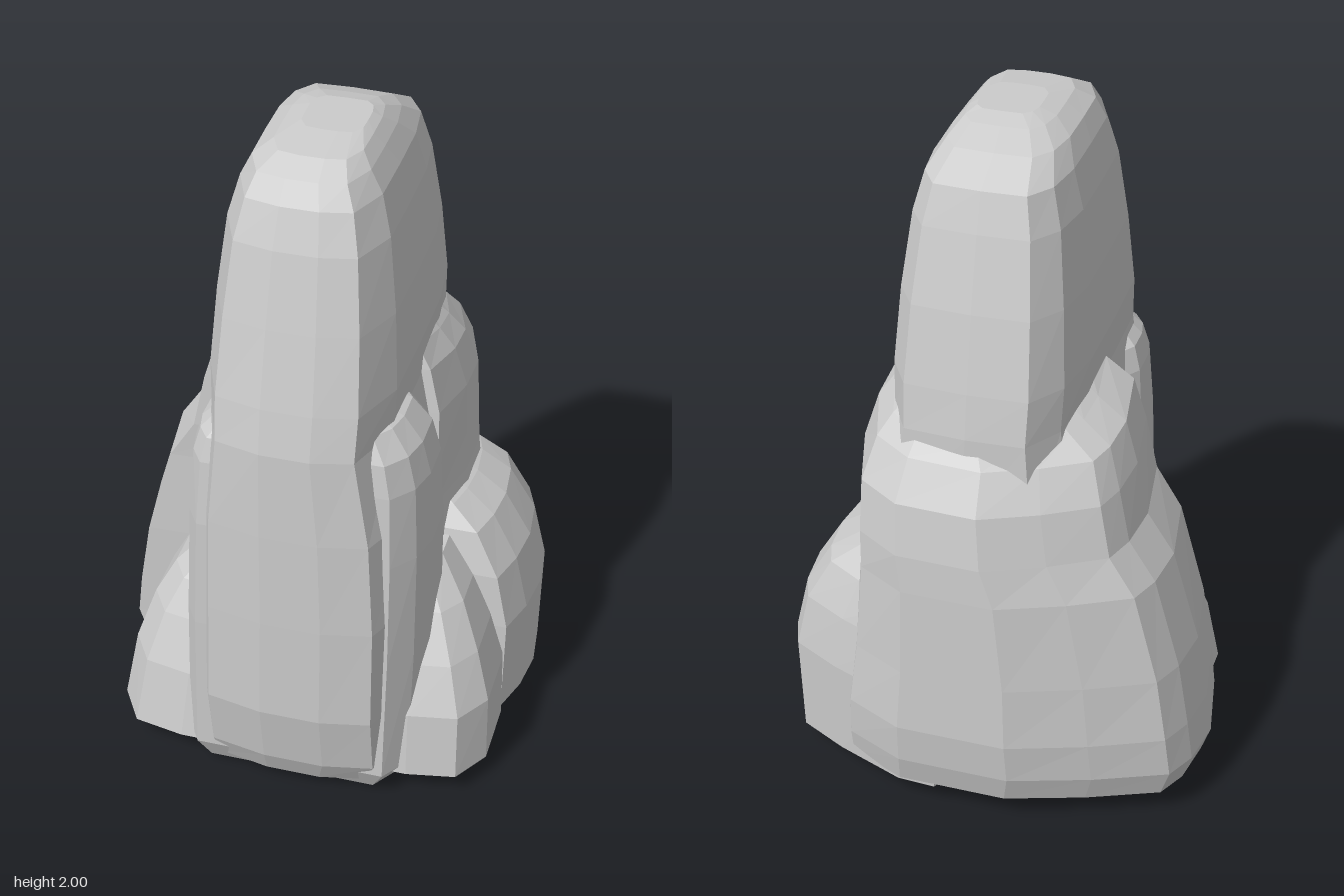
import * as THREE from 'three';

const material = new THREE.MeshStandardMaterial({ color: 0xcccccc, flatShading: true });

// Plan outlines in a unit square (u along x, v along z), running from +x towards +z.
const PILLAR = [[1, .3], [1, .55], [.99, .8], [.87, .97], [.65, 1], [.38, 1], [.13, .97], [.01, .8],
  [0, .55], [0, .3], [.05, .12], [.18, .01], [.5, 0], [.84, .01], [.96, .12]];
const SHOULDER = [[1, .45], [1, .7], [.95, 1], [.6, 1], [.3, .96], [.04, .97], [0, .62], [.02, .4],
  [.06, .26], [.25, .12], [.46, 0], [.76, 0], [.92, .12]];
const BOULDER = [[1, .62], [.97, .82], [.9, 1], [.5, 1], [0, 1], [0, 0], [.22, .01], [.62, .14], [.9, .26], [.97, .4]];
const SLAB = [[1, .25], [1, .7], [.84, .94], [.5, 1], [0, 1], [0, 0], [.95, 0]];
const RIB = [[1, .2], [1, .55], [.92, .8], [.72, 1], [0, 1], [0, 0], [.8, 0]];

// Stacks one outline through levels [y, x0, x1, z0, z1]; tilt lifts the upper levels along x and z.
function rock(name, outline, levels, { mirror = false, tilt = [0, 0] } = {}) {
  const n = outline.length, pos = [], idx = [];
  const top = levels[levels.length - 1][0];
  const side = mirror ? -1 : 1;
  const add = (u, v, [y, x0, x1, z0, z1]) => {
    const x = x0 + (x1 - x0) * u, z = z0 + (z1 - z0) * v;
    const lift = Math.pow(y / top, 3) * (tilt[0] * (u - .5) + tilt[1] * (v - .5));
    pos.push(side * x, y + lift, z);
  };
  levels.forEach(level => outline.forEach(([u, v]) => add(u, v, level)));
  for (let i = 0; i < levels.length - 1; i++) {
    for (let j = 0; j < n; j++) {
      const a = i * n + j, b = i * n + (j + 1) % n;
      idx.push(a, a + n, b, b, a + n, b + n);
    }
  }
  // Closing fans at the bottom and the top
  const low = pos.length / 3, high = low + 1, last = (levels.length - 1) * n;
  add(.5, .5, levels[0]);
  add(.5, .5, levels[levels.length - 1]);
  for (let j = 0; j < n; j++) {
    const k = (j + 1) % n;
    idx.push(low, j, k, high, last + k, last + j);
  }
  if (mirror) {
    for (let i = 0; i < idx.length; i += 3) [idx[i], idx[i + 1]] = [idx[i + 1], idx[i]];
  }
  const geometry = new THREE.BufferGeometry();
  geometry.setAttribute('position', new THREE.Float32BufferAttribute(pos, 3));
  geometry.setIndex(idx);
  geometry.computeVertexNormals();
  const mesh = new THREE.Mesh(geometry, material);
  mesh.name = name;
  return mesh;
}

export function createModel() {
  const group = new THREE.Group();
  group.name = 'rockFormation';

  group.add(
    // Tall central pillar with a rounded crown
    rock('pillar', PILLAR, [
      [0, -.2, .28, -.35, .32],
      [.04, -.27, .32, -.45, .5],
      [.12, -.29, .36, -.45, .535],
      [.32, -.29, .36, -.45, .57],
      [.65, -.28, .36, -.45, .568],
      [.95, -.27, .34, -.44, .56],
      [1.22, -.235, .285, -.43, .55],
      [1.35, -.24, .29, -.41, .525],
      [1.57, -.225, .275, -.365, .475],
      [1.78, -.2, .25, -.31, .425],
      [1.89, -.17, .22, -.275, .385],
      [1.95, -.14, .185, -.17, .345],
      [1.985, -.09, .155, -.08, .28],
      [2, -.04, .13, -.02, .16],
    ]),
    // Broad mass behind the pillar, ending in a sloping ledge
    rock('backShoulder', SHOULDER, [
      [0, -.4, .4, -.4, .05],
      [.08, -.6, .46, -.53, .09],
      [.17, -.63, .46, -.555, .09],
      [.3, -.615, .45, -.57, .09],
      [.5, -.58, .42, -.565, .09],
      [.78, -.5, .39, -.555, .08],
      [.9, -.42, .385, -.548, .08],
      [1.06, -.385, .38, -.52, .07],
      [1.18, -.345, .345, -.455, .06],
      [1.24, -.26, .3, -.41, .05],
      [1.3, -.18, .24, -.36, .04],
    ], { tilt: [.04, .1] }),
    // Low boulder and slab on the left
    rock('leftBoulder', BOULDER, [
      [.02, .1, .48, -.42, .04],
      [.07, .1, .615, -.53, .09],
      [.38, .1, .62, -.545, .09],
      [.55, .1, .58, -.53, .08],
      [.68, .1, .5, -.5, .05],
      [.74, .1, .41, -.46, .01],
      [.77, .1, .34, -.4, -.04],
    ]),
    rock('leftSlab', SLAB, [
      [.02, .15, .42, 0, .4],
      [.07, .15, .57, 0, .45],
      [.28, .15, .565, 0, .43],
      [.42, .15, .52, 0, .37],
      [.55, .15, .46, 0, .29],
      [.66, .15, .38, 0, .2],
    ]),
    // Low slab on the right
    rock('rightSlab', SLAB, [
      [.02, .1, .45, 0, .42],
      [.07, .1, .54, 0, .47],
      [.28, .1, .505, 0, .43],
      [.43, .1, .455, 0, .37],
      [.53, .1, .4, 0, .32],
      [.61, .1, .32, 0, .26],
    ], { mirror: true }),
    // Narrow ribs hugging the pillar
    rock('leftRib', RIB, [
      [.01, .1, .33, .12, .46],
      [.09, .1, .38, .1, .5],
      [.5, .1, .39, .1, .49],
      [.85, .1, .39, .12, .48],
      [1.08, .1, .38, .14, .47],
      [1.18, .1, .355, .15, .46],
      [1.25, .1, .3, .17, .43],
      [1.27, .1, .25, .2, .4],
    ]),
    rock('rightRib', RIB, [
      [.01, .1, .28, .18, .46],
      [.09, .1, .32, .15, .5],
      [.55, .1, .31, .16, .5],
      [.9, .1, .295, .18, .49],
      [1.1, .1, .28, .2, .47],
      [1.17, .1, .26, .22, .45],
      [1.21, .1, .22, .25, .42],
    ], { mirror: true }),
  );
  return group;
}
